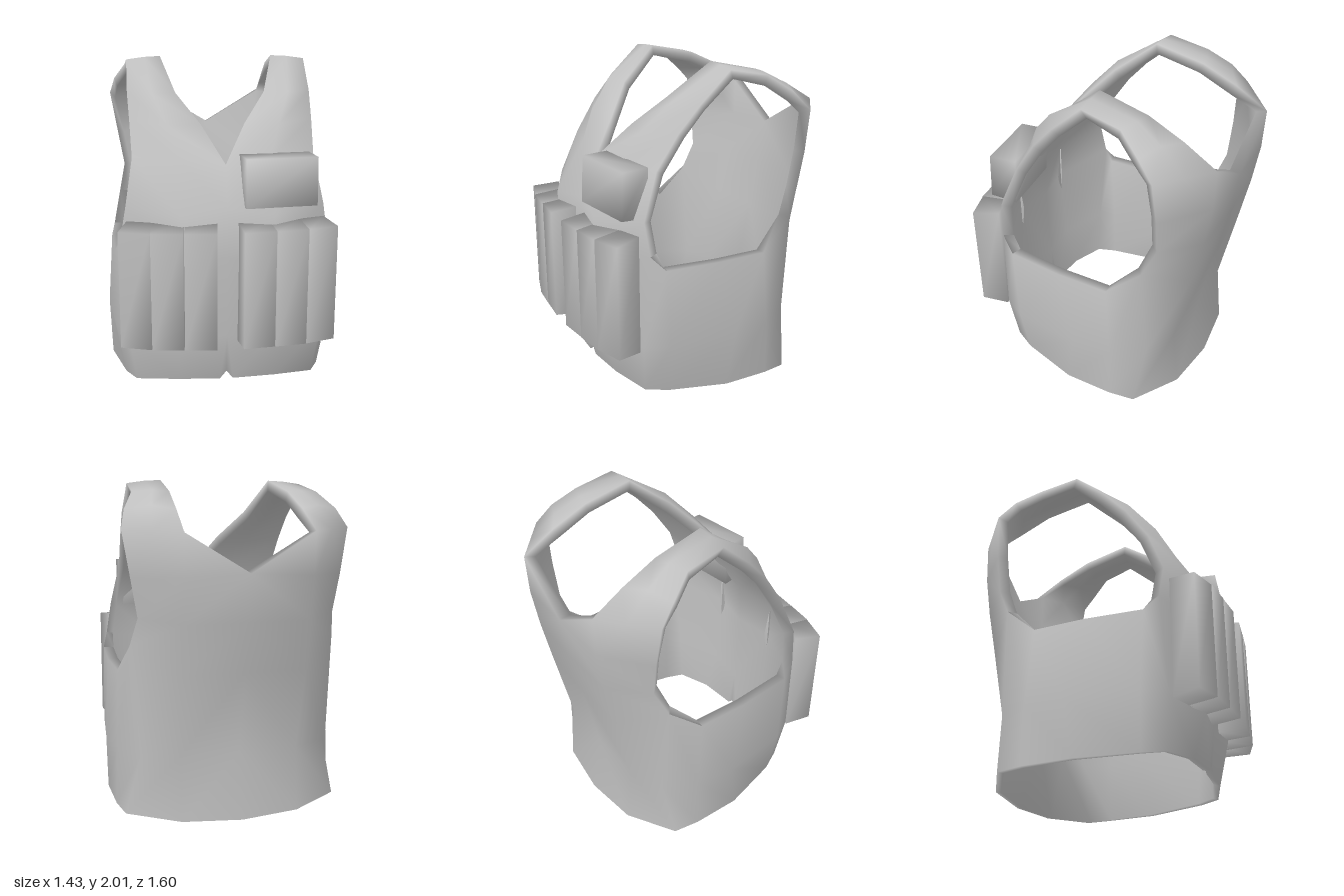
import * as THREE from 'three';
import { mergeVertices } from 'three/addons/utils/BufferGeometryUtils.js';

const fabric = new THREE.MeshStandardMaterial({ color: 0xc0c0c0 });
fabric.name = 'grey fabric';

// Half cross-sections of the lower body, front centre -> side -> back centre
const hem = [[0, .15, .585], [.3, .1, .565], [.545, .08, .49], [.61, .07, .36], [.7, .05, 0],
  [.695, .04, -.3], [.665, .03, -.46], [.36, .01, -.63], [0, 0, -.67]];
const waist = [[0, .4, .62], [.27, .4, .645], [.59, .4, .52], [.665, .4, .38], [.715, .4, -.05],
  [.685, .4, -.3], [.575, .4, -.5], [.36, .4, -.59], [0, .4, -.6]];
const chest = [[0, .89, .64], [.26, .89, .68], [.62, .98, .485], [.655, .89, .4], [.68, .88, .05],
  [.67, .87, -.27], [.63, 1.05, -.48], [.38, .9, -.69], [0, .9, -.7]];

// Front panel, shoulder strap and back panel: rows of inner, middle and outer points
const strap = [
  [chest[0], chest[1], chest[2]],
  [[0, 1.18, .62], [.27, 1.15, .67], [.585, 1.18, .505]],
  [[0, 1.42, .52], [.27, 1.45, .485], [.54, 1.45, .4]],
  [[.13, 1.63, .34], [.33, 1.63, .385], [.55, 1.65, .265]],
  [[.27, 1.8, .18], [.41, 1.8, .23], [.56, 1.8, .13]],
  [[.35, 2, -.07], [.45, 1.995, -.07], [.56, 1.98, -.07]],
  [[.365, 1.93, -.38], [.46, 1.935, -.36], [.575, 1.93, -.32]],
  [[.375, 1.83, -.6], [.5, 1.85, -.52], [.645, 1.83, -.46]],
  [[.38, 1.71, -.8], [.53, 1.715, -.68], [.68, 1.72, -.56]],
  [[0, 1.48, -.8], [.38, 1.46, -.79], [.635, 1.45, -.57]],
  [[0, 1.2, -.76], [.38, 1.2, -.75], [.595, 1.22, -.56]],
  [chest[8], chest[7], chest[6]],
];

// The lining is thin at the hem and thicker from the waist up
const thickness = (y) => 0.03 + 0.035 * Math.min(1, y / 0.4);

// Mirrored outer skin, inner lining offset along the normals, and a rim joining them
function shellGeometry() {
  const pos = [];
  const tri = (a, b, c) => {
    pos.push(...a, ...b, ...c);
    for (const p of [a, c, b]) pos.push(-p[0], p[1], p[2]);
  };
  const quad = (a, b, c, d) => { tri(a, b, c); tri(a, c, d); };
  const grid = (rows, first = 0) => {
    for (let r = 0; r + 1 < rows.length; r++)
      for (let c = r === 0 ? first : 0; c + 1 < rows[r].length; c++)
        quad(rows[r][c], rows[r][c + 1], rows[r + 1][c + 1], rows[r + 1][c]);
  };
  grid([hem, waist, chest], 1);
  grid(strap);
  // Small notch in the front hem
  const notch = [.04, .1, .585];
  tri(hem[0], notch, waist[0]);
  tri(notch, waist[1], waist[0]);
  tri(notch, hem[1], waist[1]);

  let skin = new THREE.BufferGeometry();
  skin.setAttribute('position', new THREE.Float32BufferAttribute(pos, 3));
  skin = mergeVertices(skin, 1e-4);
  skin.computeVertexNormals();
  const P = skin.attributes.position, N = skin.attributes.normal, n = P.count;
  const verts = [...P.array];
  for (let i = 0; i < n; i++) {
    const t = thickness(P.getY(i));
    verts.push(P.getX(i) - N.getX(i) * t, P.getY(i) - N.getY(i) * t, P.getZ(i) - N.getZ(i) * t);
  }

  const src = [...skin.index.array], index = [...src], edges = new Map();
  for (let i = 0; i < src.length; i += 3) {
    const t = src.slice(i, i + 3);
    index.push(t[0] + n, t[2] + n, t[1] + n);
    for (let k = 0; k < 3; k++) edges.set(`${t[k]},${t[(k + 1) % 3]}`, [t[k], t[(k + 1) % 3]]);
  }
  for (const [a, b] of edges.values())
    if (!edges.has(`${b},${a}`)) index.push(b, a, a + n, b, a + n, b + n);

  const geo = new THREE.BufferGeometry();
  geo.setAttribute('position', new THREE.Float32BufferAttribute(verts, 3));
  geo.setIndex(index);
  geo.computeVertexNormals();
  return geo;
}

// Soft box pouch whose front face is slightly shorter than its back
function pouch(name, w, h, d, x, y, z, turn, taper = 0.018) {
  let geo = new THREE.BoxGeometry(w, h, d);
  const p = geo.attributes.position;
  for (let i = 0; i < p.count; i++)
    if (p.getZ(i) > 0) p.setY(i, p.getY(i) - Math.sign(p.getY(i)) * taper);
  geo.deleteAttribute('normal');
  geo.deleteAttribute('uv');
  geo = mergeVertices(geo);
  geo.computeVertexNormals();
  const mesh = new THREE.Mesh(geo, fabric);
  mesh.name = name;
  mesh.position.set(x, y, z);
  mesh.rotation.y = turn;
  return mesh;
}

export function createModel() {
  const model = new THREE.Group();
  model.name = 'vest';

  const shell = new THREE.Mesh(shellGeometry(), fabric);
  shell.name = 'vestShell';
  model.add(shell);

  // Three magazine pouches on each side of the belly
  for (const side of [-1, 1]) {
    const set = new THREE.Group();
    set.name = side > 0 ? 'leftPouches' : 'rightPouches';
    set.add(
      pouch('innerPouch', .186, .735, .17, side * .162, .735, .702, side * .1),
      pouch('middlePouch', .184, .735, .17, side * .35, .735, .683, side * .12),
      pouch('outerPouch', .184, .735, .17, side * .518, .735, .645, side * .3),
    );
    model.add(set);
  }

  // Single wide pouch on the left chest
  const chestPouch = pouch('chestPouch', .425, .3, .17, .305, 1.327, .55, .12, .008);
  chestPouch.rotation.x = -.05;
  model.add(chestPouch);
  return model;
}
